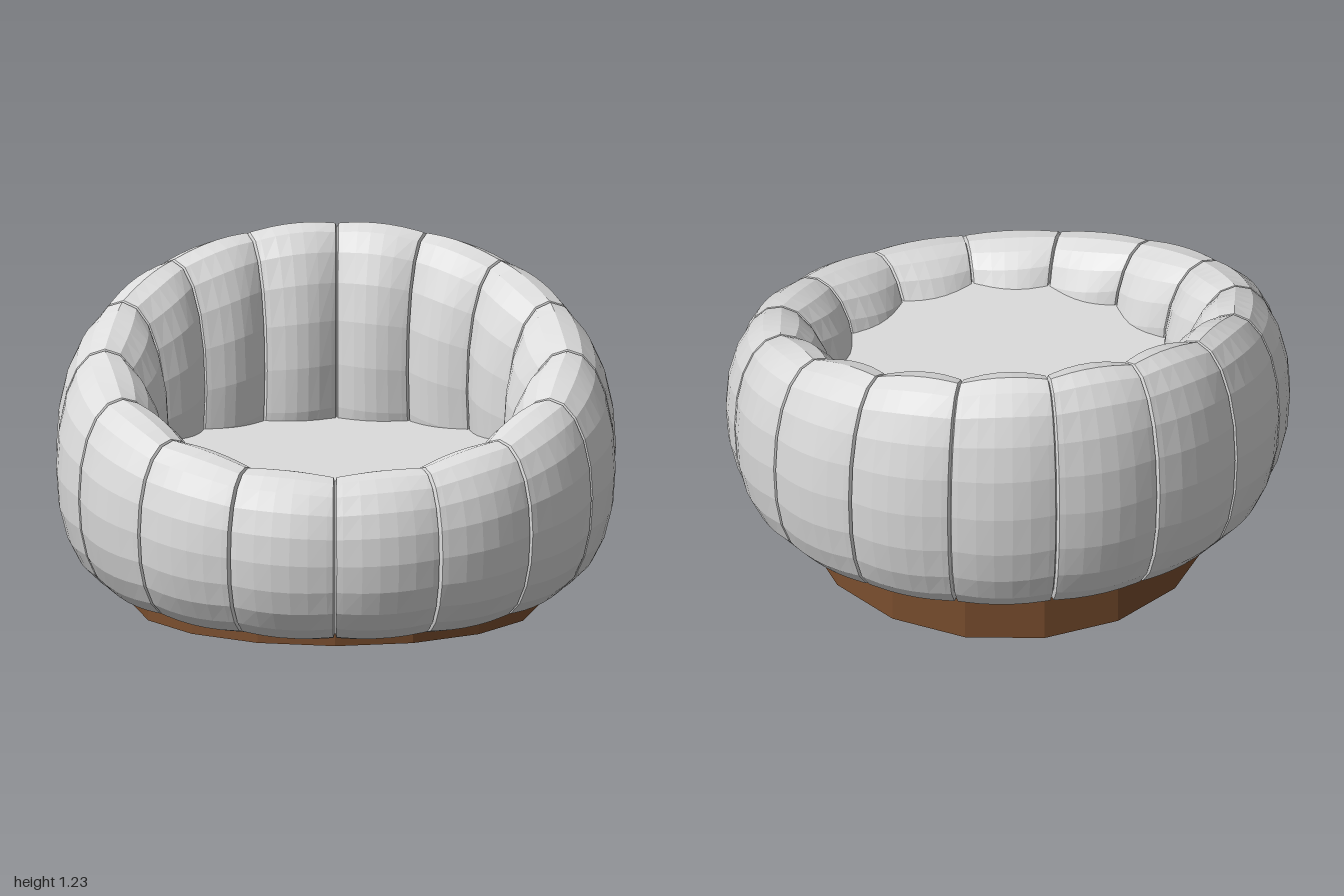
import * as THREE from 'three';

const SEGMENTS = 16;      // padded rolls around the ring
const SIDES = 20;         // points around one roll's cross-section
const STEPS = [-1, -0.965, -0.85, -0.5, -0.17, 0.17, 0.5, 0.85, 0.965, 1];

// One point of the ring: a vertical oval section that is taller and higher at the back
function ringPoint(theta, u, t) {
  const c = Math.cos(theta);
  const bulge = 1 - u * u;
  const groove = Math.abs(u) === 1 ? 0.016 : 0;
  const centre = 0.826 - 0.016 * bulge;
  const halfWidth = 0.164 + 0.034 * bulge - groove;
  const halfHeight = 0.386 - 0.094 * c + 0.012 * bulge - groove;
  const soft = (v) => Math.sign(v) * Math.pow(Math.abs(v), 0.95);
  const r = centre + halfWidth * soft(Math.cos(t));
  const y = 0.541 - 0.197 * c + halfHeight * soft(Math.sin(t));
  return [r * Math.sin(theta), y, r * Math.cos(theta)];
}

// Flat-faceted skin of one roll
function rollGeometry(k) {
  const half = Math.PI / SEGMENTS;
  const mid = (2 * k + 1) * half;
  const positions = [];
  const index = [];
  STEPS.forEach((u) => {
    for (let j = 0; j < SIDES; j++) {
      positions.push(...ringPoint(mid + u * half, u, (j / SIDES) * Math.PI * 2));
    }
  });
  for (let i = 0; i < STEPS.length - 1; i++) {
    for (let j = 0; j < SIDES; j++) {
      const a = i * SIDES + j;
      const d = i * SIDES + ((j + 1) % SIDES);
      index.push(a, a + SIDES, d + SIDES, a, d + SIDES, d);
    }
  }
  const g = new THREE.BufferGeometry();
  g.setAttribute('position', new THREE.Float32BufferAttribute(positions, 3));
  g.setIndex(index);
  const flat = g.toNonIndexed();
  flat.computeVertexNormals();
  return flat;
}

function flatCylinder(radius, y0, y1, sides) {
  const g = new THREE.CylinderGeometry(radius, radius, y1 - y0, sides).toNonIndexed();
  g.translate(0, (y0 + y1) / 2, 0);
  g.computeVertexNormals();
  return g;
}

export function createModel() {
  const model = new THREE.Group();
  model.name = 'roundArmchair';

  const fabric = new THREE.MeshStandardMaterial({ color: 0xdcdcdc });
  fabric.name = 'light grey fabric';
  const wood = new THREE.MeshStandardMaterial({ color: 0x7a4e2e });
  wood.name = 'brown wood';

  const add = (parent, name, geometry, material) => {
    const mesh = new THREE.Mesh(geometry, material);
    mesh.name = name;
    parent.add(mesh);
  };

  // Padded ring forming the front edge, arms and backrest
  const ring = new THREE.Group();
  ring.name = 'paddedRing';
  for (let k = 0; k < SEGMENTS; k++) add(ring, `paddedRoll${k + 1}`, rollGeometry(k), fabric);
  model.add(ring);

  // Flat seat inside the ring and the plinth below
  add(model, 'seat', flatCylinder(0.74, 0.35, 0.54, 32), fabric);
  add(model, 'base', flatCylinder(0.725, 0, 0.36, 16), wood);

  return model;
}
